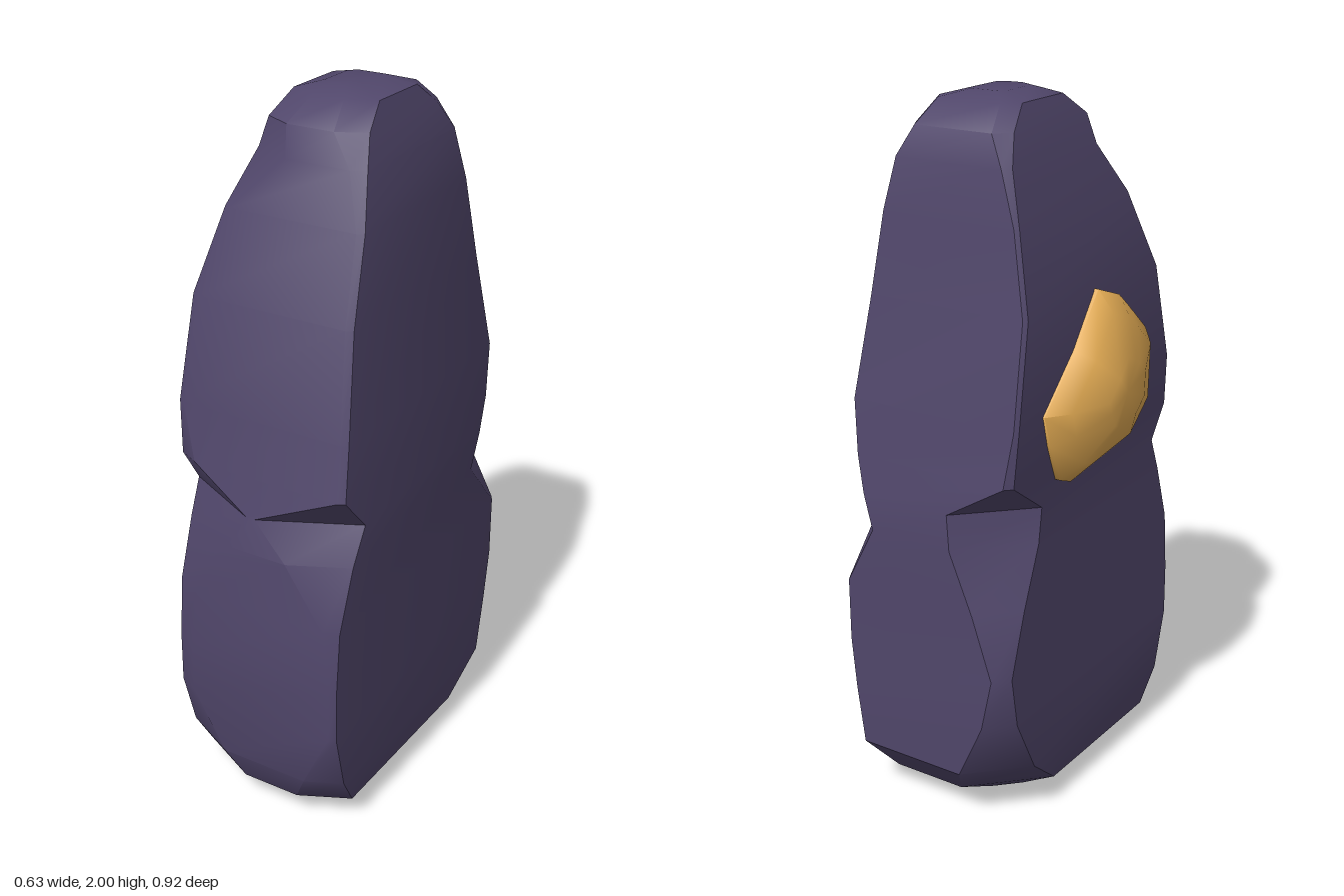
import * as THREE from 'three';
import { toCreasedNormals } from 'three/addons/utils/BufferGeometryUtils.js';

// Closed loft through rings of equal point count, capped at both ends.
function loft(rings, crease) {
  const n = rings[0].length;
  const pos = rings.flat(2);
  const index = [];
  for (let i = 0; i < rings.length - 1; i++) {
    for (let j = 0; j < n; j++) {
      const k = (j + 1) % n;
      const a = i * n + j, b = i * n + k, c = a + n, d = b + n;
      index.push(a, b, d, a, d, c);
    }
  }
  [0, rings.length - 1].forEach((r, end) => {
    const centre = [0, 1, 2].map(q => rings[r].reduce((s, p) => s + p[q], 0) / n);
    const m = pos.length / 3;
    pos.push(...centre);
    for (let j = 0; j < n; j++) {
      const a = r * n + j, b = r * n + (j + 1) % n;
      index.push(m, end ? a : b, end ? b : a);
    }
  });
  const g = new THREE.BufferGeometry();
  g.setAttribute('position', new THREE.Float32BufferAttribute(pos, 3));
  g.setIndex(index);
  return toCreasedNormals(g, crease);
}

// Rectangle with chipped corners: one chip size for all, or one per corner.
// Front chips run twice as far across the front as they do deep.
function slabRing([y, xL, xR, zB, zF, fr, br = fr, bl = fr, fl = fr]) {
  return [
    [xR, y, zF - fr], [xR, y, zB + br], [xR - br * 0.6, y, zB], [xL + bl, y, zB],
    [xL, y, zB + bl], [xL, y, zF - fl], [xL + fl * 2, y, zF], [xR - fr * 2, y, zF],
  ];
}

export function createModel() {
  const stone = new THREE.MeshStandardMaterial({ color: 0x50466a });
  stone.name = 'purple stone';
  const gold = new THREE.MeshStandardMaterial({ color: 0xe4ac54 });
  gold.name = 'gold ore';

  const model = new THREE.Group();
  model.name = 'standingStone';

  // Stone: height, x range, z range, corner chips (deepest at the waist)
  const levels = [
    [0.00, 0.02, 0.16, -0.08, 0.15, 0.03],
    [0.025, -0.10, 0.24, -0.25, 0.32, 0.06],
    [0.075, -0.20, 0.295, -0.37, 0.41, 0.07, 0.14, 0.19, 0.09],
    [0.18, -0.215, 0.31, -0.455, 0.46, 0.05, 0.08, 0.15, 0.08],
    [0.35, -0.215, 0.31, -0.46, 0.46, 0.01, 0.05, 0.07, 0.03],
    [0.50, -0.215, 0.31, -0.455, 0.46, 0.01, 0.02, 0.04, 0.03],
    [0.68, -0.215, 0.31, -0.455, 0.455, 0.02, 0.02, 0.10, 0.04],
    [0.85, -0.215, 0.31, -0.455, 0.45, 0.08, 0.17, 0.17, 0.09],
    [0.95, -0.215, 0.31, -0.45, 0.44, 0.13, 0.12, 0.18, 0.12],
    [1.05, -0.22, 0.305, -0.43, 0.41, 0.01, 0.06, 0.02, 0.03],
    [1.20, -0.23, 0.295, -0.41, 0.38, 0.01],
    [1.48, -0.225, 0.265, -0.36, 0.31, 0.01],
    [1.70, -0.18, 0.24, -0.33, 0.22, 0.01],
    [1.84, -0.14, 0.21, -0.31, 0.17, 0.02, 0.01, 0.02, 0.06],
    [1.92, -0.115, 0.185, -0.285, 0.14, 0.04],
    [1.98, -0.09, 0.165, -0.21, 0.06, 0.04],
    [2.00, -0.02, 0.09, -0.15, 0.0, 0.02],
  ];
  const body = new THREE.Mesh(loft(levels.map(slabRing), 0.6), stone);
  body.name = 'stoneBody';
  model.add(body);

  // Gold nugget bulging from the right-hand face: outline as [z, y]
  const outline = [
    [-0.03, 1.49], [-0.14, 1.35], [-0.29, 1.21], [-0.26, 1.12], [-0.21, 1.01], [-0.16, 0.99],
    [0.10, 1.02], [0.22, 1.12], [0.23, 1.32], [0.14, 1.40], [0.08, 1.45],
  ];
  const domes = [[-0.2, 1], [-0.235, 1], [-0.28, 0.78], [-0.32, 0.36]];
  const nuggetRings = domes.map(([x, s]) =>
    outline.map(([z, y]) => [x, 1.21 + (y - 1.21) * s, z * s]));
  const nugget = new THREE.Mesh(loft(nuggetRings, 1.2), gold);
  nugget.name = 'goldNugget';
  model.add(nugget);

  return model;
}
